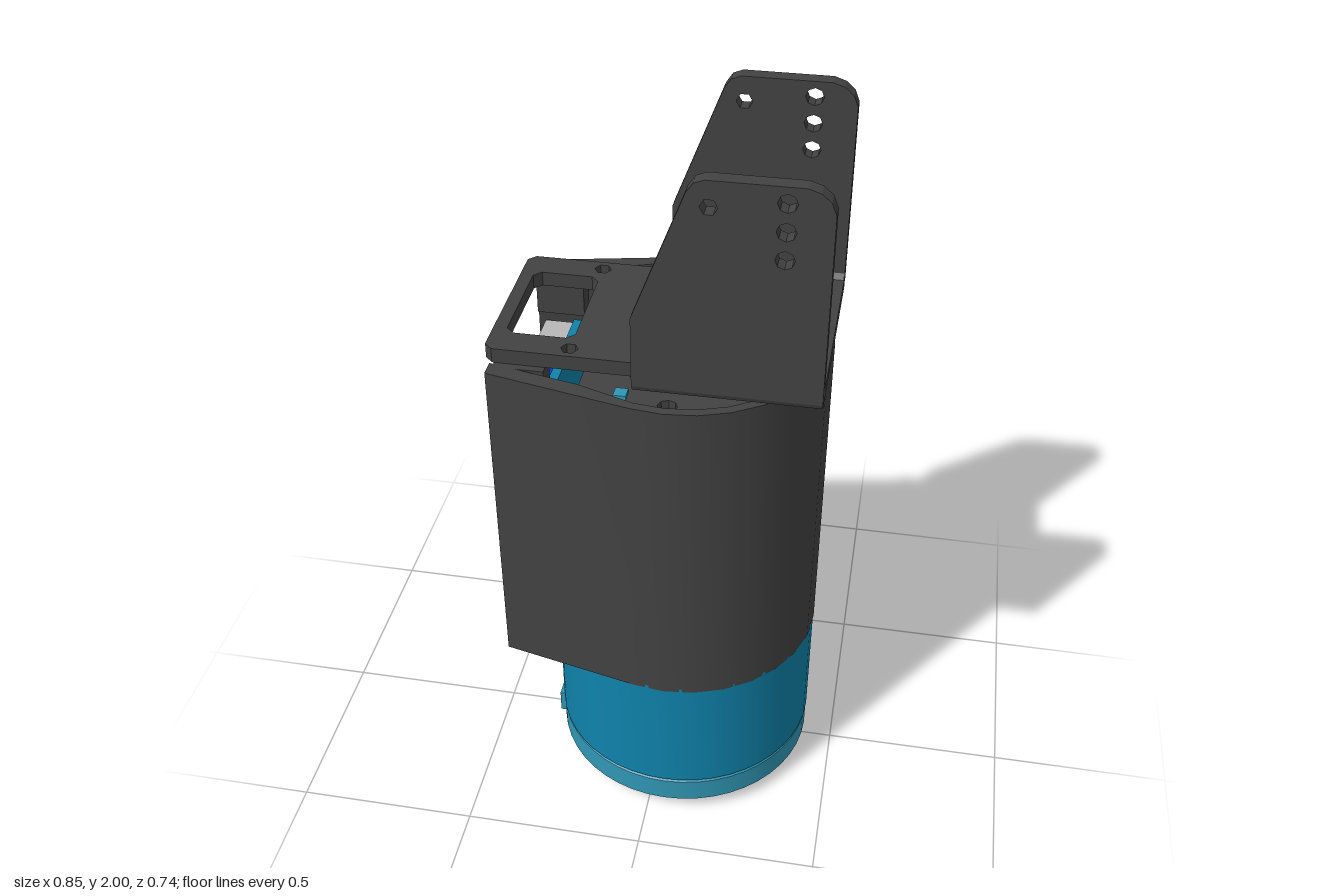
import * as THREE from 'three';
import { toCreasedNormals } from 'three/addons/utils/BufferGeometryUtils.js';

const AX = 0.05; // x of the motor axis
const mat = (color) => new THREE.MeshStandardMaterial({ color });
const M = {
  dark: mat(0x424242), blue: mat(0x0f82ab), teal: mat(0x3096b4), hub: mat(0x666666),
  white: mat(0xb8b8b8), board: mat(0x0d35c0), red: mat(0xd02424),
};

const poly = (pts) => new THREE.Shape(pts.map(([x, y]) => new THREE.Vector2(x, y)));
function circle(x, y, r, n = 16) {
  const pts = [];
  for (let i = 0; i < n; i++) {
    const a = (i / n) * Math.PI * 2;
    pts.push([x + r * Math.cos(a), y + r * Math.sin(a)]);
  }
  return poly(pts);
}
// Six bolt holes round the motor axis
const boltHoles = (r = 0.022, ring = 0.31) => [0, 1, 2, 3, 4, 5].map((i) => {
  const a = Math.PI / 2 + (i * Math.PI) / 3;
  return circle(AX + ring * Math.cos(a), ring * Math.sin(a), r, 10);
});

export function createModel() {
  const model = new THREE.Group();
  const add = (name, geo, material, parent = model) => {
    const m = new THREE.Mesh(geo, material);
    m.name = name;
    parent.add(m);
    return m;
  };
  // Slab drawn in plan (x, z), from y0 up to y1
  const slab = (name, shape, holes, y0, y1, material, bevel = 0) => {
    shape.holes = holes;
    let g = new THREE.ExtrudeGeometry(shape, {
      depth: y1 - y0 - 2 * bevel, bevelEnabled: bevel > 0, bevelThickness: bevel,
      bevelSize: bevel, bevelOffset: -bevel, bevelSegments: 1,
    });
    g.rotateX(Math.PI / 2);
    g.translate(0, y1 - bevel, 0);
    return add(name, toCreasedNormals(g, 0.5), material);
  };
  // Box given by its limits
  const box = (name, x0, x1, y0, y1, z0, z1, material) => {
    const m = add(name, new THREE.BoxGeometry(x1 - x0, y1 - y0, z1 - z0), material);
    m.position.set((x0 + x1) / 2, (y0 + y1) / 2, (z0 + z1) / 2);
    return m;
  };
  const bore = () => circle(AX, 0, 0.033, 6);

  // Motor: flange, body, output hub
  slab('motorFlange', circle(AX, 0, 0.368, 48), [bore(), ...boltHoles(0.028)], 0.035, 0.13, M.teal, 0.012);
  slab('motorBody', circle(AX, 0, 0.37, 48), [bore(), ...boltHoles()], 0.13, 0.5, M.blue);
  const hubHoles = [];
  for (let i = 0; i < 8; i++) {
    const a = (i + 0.5) * Math.PI / 4, r = i % 2 ? 0.14 : 0.11;
    hubHoles.push(circle(AX + r * Math.cos(a), r * Math.sin(a), 0.016, 10));
  }
  slab('hubRim', circle(AX, 0, 0.22, 40), [circle(AX, 0, 0.2, 40)], 0.024, 0.04, M.white);
  slab('outputHub', circle(AX, 0, 0.2, 40), [bore(), ...hubHoles], 0.022, 0.04, M.hub);
  slab('hubBoss', circle(AX, 0, 0.055, 20), [bore()], 0, 0.03, M.hub);

  // Connector port low on the motor
  box('motorPort', -0.325, -0.28, 0.045, 0.115, -0.08, 0.08, M.teal);
  for (const z of [-0.045, 0, 0.045]) box('portSlot', -0.328, -0.32, 0.065, 0.09, z - 0.012, z + 0.012, M.dark);

  // Shell: round at +x, straight cheeks to an open end at -x
  const arc = (r, n, from) => Array.from({ length: n + 1 }, (_, i) => {
    const a = -from + (2 * from * i) / n;
    return [AX + r * Math.cos(a), r * Math.sin(a)];
  });
  const wrap = THREE.MathUtils.degToRad(103);
  const outer = [[-0.41, -0.28], ...arc(0.372, 16, wrap), [-0.41, 0.28]];
  const inner = [[-0.41, 0.235], [-0.18, 0.285], ...arc(0.347, 16, wrap).reverse(), [-0.18, -0.285], [-0.41, -0.235]];
  slab('shell', poly([...outer, ...inner]), [], 0.49, 1.42, M.dark);

  // Inner floor, core and lid
  const inside = () => poly([[-0.18, -0.285], ...arc(0.347, 16, wrap), [-0.18, 0.285]]);
  slab('innerFloor', circle(AX, 0, 0.345, 40), [bore(), ...boltHoles()], 0.5, 0.525, M.dark);
  slab('innerCore', circle(AX, 0, 0.25, 32), [bore()], 0.52, 1.37, M.dark);
  slab('shellLid', inside(), [bore(), circle(AX, 0.31, 0.025, 8), circle(AX, -0.31, 0.025, 8)], 1.37, 1.4, M.dark);
  box('lidKey', -0.085, -0.053, 1.38, 1.41, 0.268, 0.302, M.teal);
  const bolt = add('hexBolt', new THREE.CylinderGeometry(0.038, 0.038, 0.12, 6), M.teal);
  bolt.position.set(-0.26, 0.58, 0);

  // Corner blocks in the open end
  for (const s of [-1, 1]) {
    const pair = (name, x0, x1, y0, y1, za, zb) =>
      box(name, x0, x1, y0, y1, Math.min(s * za, s * zb), Math.max(s * za, s * zb), M.dark);
    pair('lowerBlock', -0.4, -0.26, 0.5, 0.62, 0.15, 0.25);
    pair('lowerStep', -0.36, -0.26, 0.62, 0.68, 0.19, 0.26);
    pair('upperBlock', -0.4, -0.27, 1.31, 1.42, 0.19, 0.25);
  }

  // Circuit board with two sockets
  box('circuitBoard', -0.31, -0.285, 0.74, 1.27, -0.23, 0.23, M.blue);
  box('boardCover', -0.388, -0.31, 0.74, 1.1, -0.23, 0.23, M.board);
  box('boardCentre', -0.385, -0.31, 1.1, 1.24, -0.045, 0.045, M.board);
  for (const y of [1.16, 1.2, 1.24]) box('redPlug', -0.393, -0.345, y - 0.015, y + 0.015, -0.018, 0.018, M.red);
  for (const s of [-1, 1]) {
    const zc = s * 0.138;
    // Socket frame opening towards -x, with two pins
    const frame = poly([[-0.092, -0.08], [0.092, -0.08], [0.092, 0.08], [-0.092, 0.08]]);
    frame.holes = [poly([[-0.065, -0.05], [0.065, -0.05], [0.065, 0.05], [-0.065, 0.05]])];
    const socket = add('socket', new THREE.ExtrudeGeometry(frame, { depth: 0.08, bevelEnabled: false }), M.white);
    socket.rotation.y = -Math.PI / 2;
    socket.position.set(-0.31, 1.18, zc);
    box('socketBack', -0.325, -0.308, 1.12, 1.24, zc - 0.07, zc + 0.07, M.white);
    for (const d of [-0.025, 0.025]) box('socketPin', -0.375, -0.32, 1.175, 1.187, zc + d - 0.006, zc + d + 0.006, M.white);
  }

  // Bracket base plate with cable window and screw holes
  const plate = poly([
    [-0.425, -0.21], [-0.405, -0.23], [-0.04, -0.23], [-0.04, -0.28], [0.42, -0.28],
    [0.42, 0.28], [-0.04, 0.28], [-0.04, 0.23], [-0.405, 0.23], [-0.425, 0.21],
  ]);
  const window_ = poly([
    [-0.39, -0.13], [-0.37, -0.15], [-0.235, -0.15], [-0.215, -0.13],
    [-0.215, 0.13], [-0.235, 0.15], [-0.37, 0.15], [-0.39, 0.13],
  ]);
  const screws = [];
  for (const x of [-0.215, 0.315]) for (const z of [-0.195, 0.195]) screws.push(circle(x, z, 0.022, 6));
  slab('bracketPlate', plate, [window_, bore(), ...screws], 1.42, 1.46, M.dark);

  // Upright bracket ears with mounting holes, and the bends below them
  for (const s of [-1, 1]) {
    const ear = poly([
      [-0.04, 1.44], [0.42, 1.44], [0.42, 1.94], [0.408, 1.97], [0.385, 1.99], [0.355, 2],
      [0.13, 2], [0.105, 1.99], [0.088, 1.965], [-0.04, 1.63],
    ]);
    ear.holes = [1.96, 1.89, 1.82].map((y) => circle(0.313, y, 0.023, 8));
    ear.holes.push(circle(0.14, 1.935, 0.021, 6));
    const e = add('bracketEar', new THREE.ExtrudeGeometry(ear, { depth: 0.04, bevelEnabled: false }), M.dark);
    e.position.z = s > 0 ? 0.26 : -0.3;
    const bend = poly([[0.27, 1.42], [0.28, 1.42], [0.295, 1.428], [0.3, 1.44], [0.3, 1.46], [0.26, 1.475], [0.25, 1.46]]
      .map(([z, y]) => [-s * z, y]));
    const b = add('bracketBend', new THREE.ExtrudeGeometry(bend, { depth: 0.458, bevelEnabled: false }), M.dark);
    b.rotation.y = Math.PI / 2;
    b.position.x = -0.039;
  }
  return model;
}
